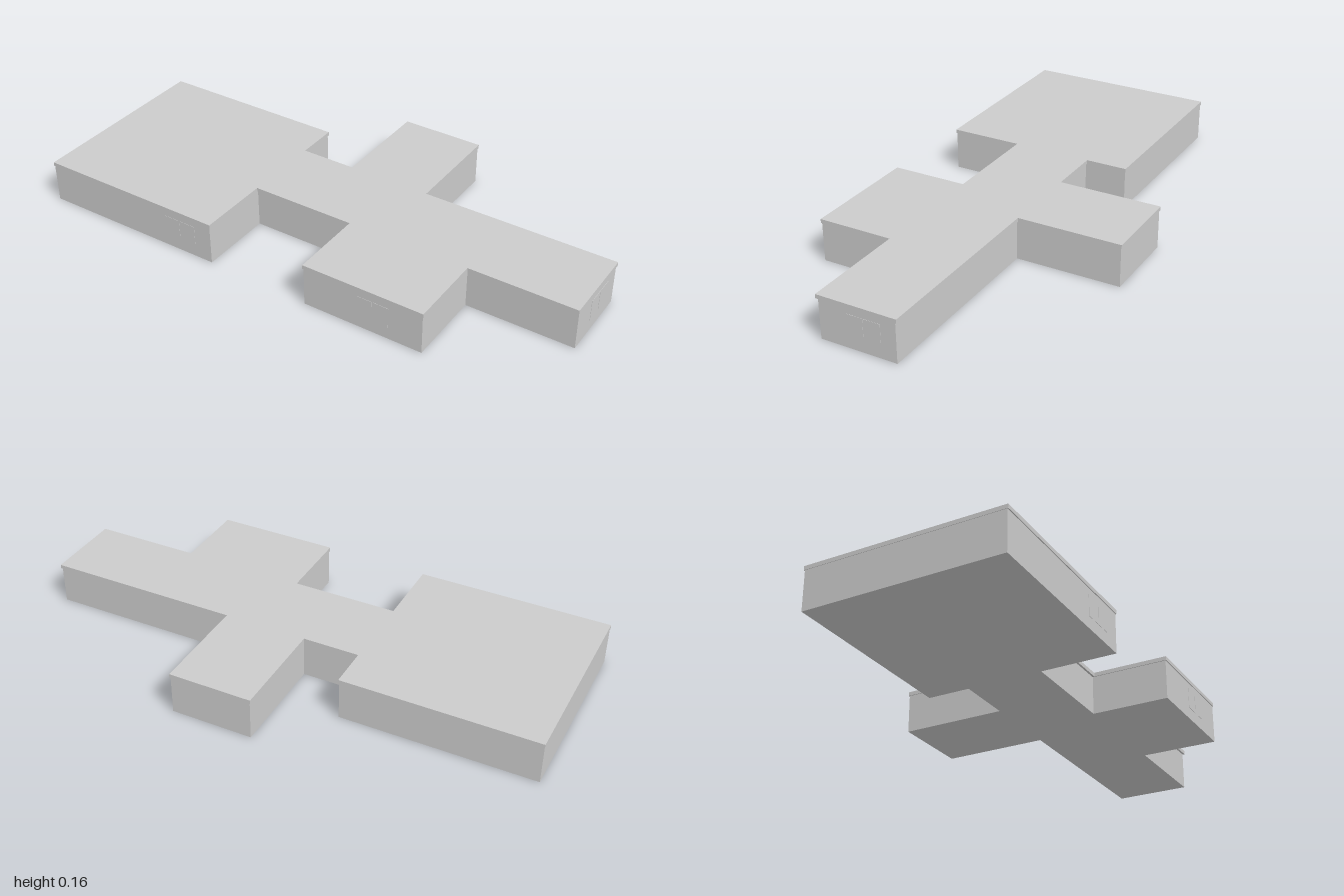
import * as THREE from 'three';

const WALL_TOP = 0.148, ROOF_TOP = 0.163;
const material = new THREE.MeshStandardMaterial({ color: 0xcccccc, flatShading: true });

// Plan outline of the wings joined by the corridor, as [x, z] corners.
// e: inset of the outer ends, f / b: inset of the corridor's front / back sides
function outline(e, f, b) {
  const front = 0.205 - f, back = -0.097 + b;
  return [
    [-1 + e / 2, 0.482 - e], [-0.266 - e, 0.482 - e], [-0.266 - e, front], [0.132 + e, front],
    [0.132 + e, 0.491 - e], [0.597 - e, 0.491 - e], [0.597 - e, front], [1 - e, front],
    [1 - e, back], [0.262 - e, back], [0.262 - e, -0.491 + e], [-0.054 + e, -0.491 + e],
    [-0.054 + e, back], [-0.266 - e, back], [-0.266 - e, -0.256 + e], [-1 + e / 2, -0.256 + e],
  ];
}

// Extrude a plan outline upwards from y0 to y1
function slab(name, points, y0, y1) {
  const shape = new THREE.Shape(points.map(([x, z]) => new THREE.Vector2(x, -z)));
  const geometry = new THREE.ExtrudeGeometry(shape, { depth: y1 - y0, bevelEnabled: false });
  geometry.rotateX(-Math.PI / 2).translate(0, y0, 0);
  const mesh = new THREE.Mesh(geometry, material);
  mesh.name = name;
  return mesh;
}

// Pair of thin door leaves with a narrow seam, facing +z before turning
function doubleDoor(name, x, z, width, turn = 0) {
  const door = new THREE.Group();
  door.name = name;
  for (const side of [-1, 1]) {
    const leaf = new THREE.Mesh(new THREE.BoxGeometry(width / 2 - 0.003, 0.08, 0.002), material);
    leaf.name = 'doorLeaf';
    leaf.position.set(side * width / 4, 0.085, 0);
    door.add(leaf);
  }
  door.position.set(x, 0, z);
  door.rotation.y = turn;
  return door;
}

export function createModel() {
  const model = new THREE.Group();
  model.name = 'building';
  model.add(
    slab('walls', outline(0.003, 0.008, 0.006), 0, WALL_TOP),
    slab('roof', outline(0, 0, 0), WALL_TOP, ROOF_TOP),
    doubleDoor('leftWingDoor', -0.405, 0.479, 0.135),
    doubleDoor('frontWingDoor', 0.405, 0.488, 0.125),
    doubleDoor('endDoor', 0.997, 0.03, 0.13, Math.PI / 2),
  );
  return model;
}
